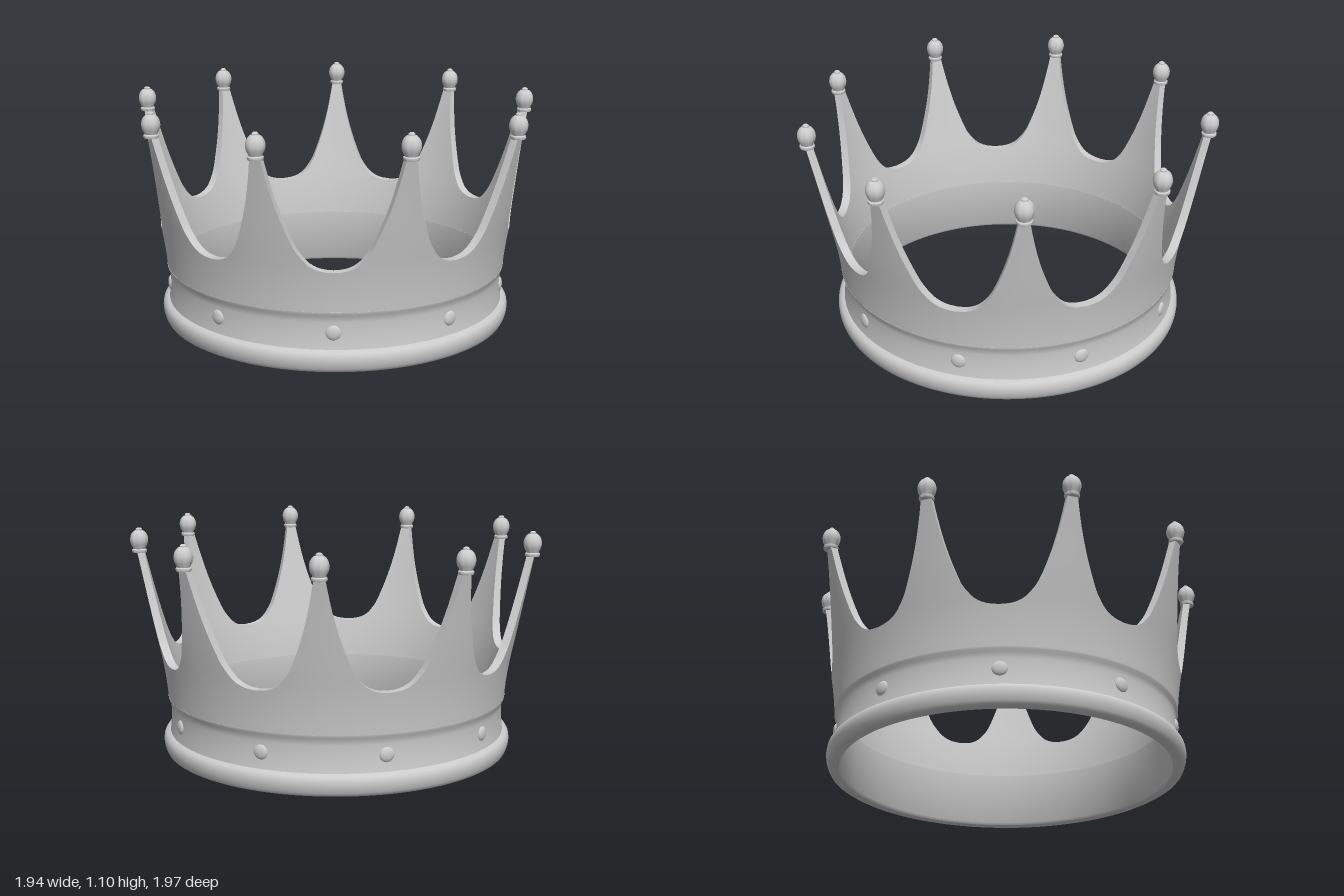
import * as THREE from 'three';
import { toCreasedNormals } from 'three/addons/utils/BufferGeometryUtils.js';

const POINTS = 9;
const STEP = (Math.PI * 2) / POINTS;
const CENTER_X = 0.026;
const material = new THREE.MeshStandardMaterial({ color: 0xcccccc });

const v2 = (list) => list.map(([x, y]) => new THREE.Vector2(x, y));

function addMesh(parent, name, geometry) {
  const mesh = new THREE.Mesh(geometry, material);
  mesh.name = name;
  parent.add(mesh);
  return mesh;
}

// Piecewise linear lookup of radius by height, smoothed by a spline
const flare = new THREE.SplineCurve(v2([
  [0.27, 0.833], [0.36, 0.842], [0.47, 0.859], [0.6, 0.886], [0.8, 0.926], [1.0, 0.966],
])).getPoints(60);
function outerRadius(y) {
  let i = 1;
  while (i < flare.length - 1 && flare[i].x < y) i++;
  const a = flare[i - 1], b = flare[i];
  return THREE.MathUtils.mapLinear(y, a.x, b.x, a.y, b.y) + 0.01 * Math.max(0, y - 0.9);
}
const thickness = (y) => THREE.MathUtils.mapLinear(y, 0.27, 1, 0.044, 0.034);

// Flared wall whose top edge sweeps between tall points and round valleys
function wallGeometry() {
  // Half of one point: x = fraction of the half step from its tip, y = edge height
  const half = new THREE.SplineCurve(v2([
    [0.065, 1.0], [0.12, 0.9], [0.19, 0.8], [0.285, 0.7], [0.41, 0.6],
    [0.5, 0.55], [0.64, 0.502], [0.81, 0.477], [1, 0.47],
  ])).getPoints(24);
  const columns = [];
  for (let k = 0; k < POINTS; k++) {
    const tip = (k + 0.5) * STEP;
    for (let i = half.length - 1; i >= 0; i--) columns.push([tip - half[i].x * STEP / 2, half[i].y]);
    for (let i = 0; i < half.length - 1; i++) columns.push([tip + half[i].x * STEP / 2, half[i].y]);
  }
  const rows = 12, ring = 2 * (rows + 1);
  const positions = [], index = [];
  for (const [angle, top] of columns) {
    for (let j = 0; j < ring; j++) {
      const inner = j > rows;
      const t = (inner ? ring - 1 - j : j) / rows;
      const y = 0.27 + (top - 0.27) * t;
      const r = outerRadius(y) - (inner ? thickness(y) : 0);
      positions.push(r * Math.cos(angle), y, r * Math.sin(angle));
    }
  }
  columns.forEach((_, i) => {
    const next = (i + 1) % columns.length;
    for (let j = 0; j < ring - 1; j++) {
      const a = i * ring + j, b = next * ring + j;
      index.push(a, a + 1, b, b, a + 1, b + 1);
    }
  });
  const geometry = new THREE.BufferGeometry();
  geometry.setAttribute('position', new THREE.Float32BufferAttribute(positions, 3));
  geometry.setIndex(index);
  return toCreasedNormals(geometry, 0.7);
}

export function createModel() {
  const crown = new THREE.Group();
  crown.name = 'crown';
  const body = new THREE.Group();
  body.name = 'crownBody';
  body.position.x = CENTER_X;
  crown.add(body);

  // Head band with rolled foot and a narrow lip under the wall
  const band = new THREE.LatheGeometry(v2([
    [0.789, 0.28], [0.789, 0.015], [0.797, 0.003], [0.81, 0], [0.835, 0], [0.846, 0.006],
    [0.853, 0.02], [0.859, 0.04], [0.861, 0.06], [0.858, 0.08], [0.85, 0.093], [0.838, 0.1],
    [0.828, 0.103], [0.824, 0.13], [0.821, 0.18], [0.821, 0.23], [0.825, 0.258],
    [0.834, 0.27], [0.835, 0.28], [0.789, 0.28],
  ]), 144);
  addMesh(body, 'headBand', toCreasedNormals(band, 0.7));

  addMesh(body, 'pointedWall', wallGeometry());

  // Egg-shaped finial with collar and small top knob
  const finial = toCreasedNormals(new THREE.LatheGeometry(v2([
    [0, 0.982], [0.033, 0.982], [0.036, 0.988], [0.035, 0.996], [0.029, 1.0], [0.031, 1.006],
    [0.039, 1.02], [0.043, 1.037], [0.043, 1.05], [0.039, 1.066], [0.032, 1.078],
    [0.022, 1.087], [0.015, 1.089], [0.015, 1.095], [0.01, 1.1], [0, 1.102],
  ]), 28), 0.7);
  const gem = new THREE.SphereGeometry(0.035, 24, 16);

  for (let k = 0; k < POINTS; k++) {
    // Finials cap the tips, studs sit below the valleys
    const tip = (k + 0.5) * STEP;
    const r = 0.954;
    addMesh(body, 'finial', finial).position.set(r * Math.cos(tip), 0, r * Math.sin(tip));

    const angle = k * STEP;
    const stud = addMesh(body, 'stud', gem);
    stud.position.set(0.82 * Math.cos(angle), 0.18, 0.82 * Math.sin(angle));
    stud.rotation.y = -angle;
    stud.scale.x = 0.42;
  }
  return crown;
}
